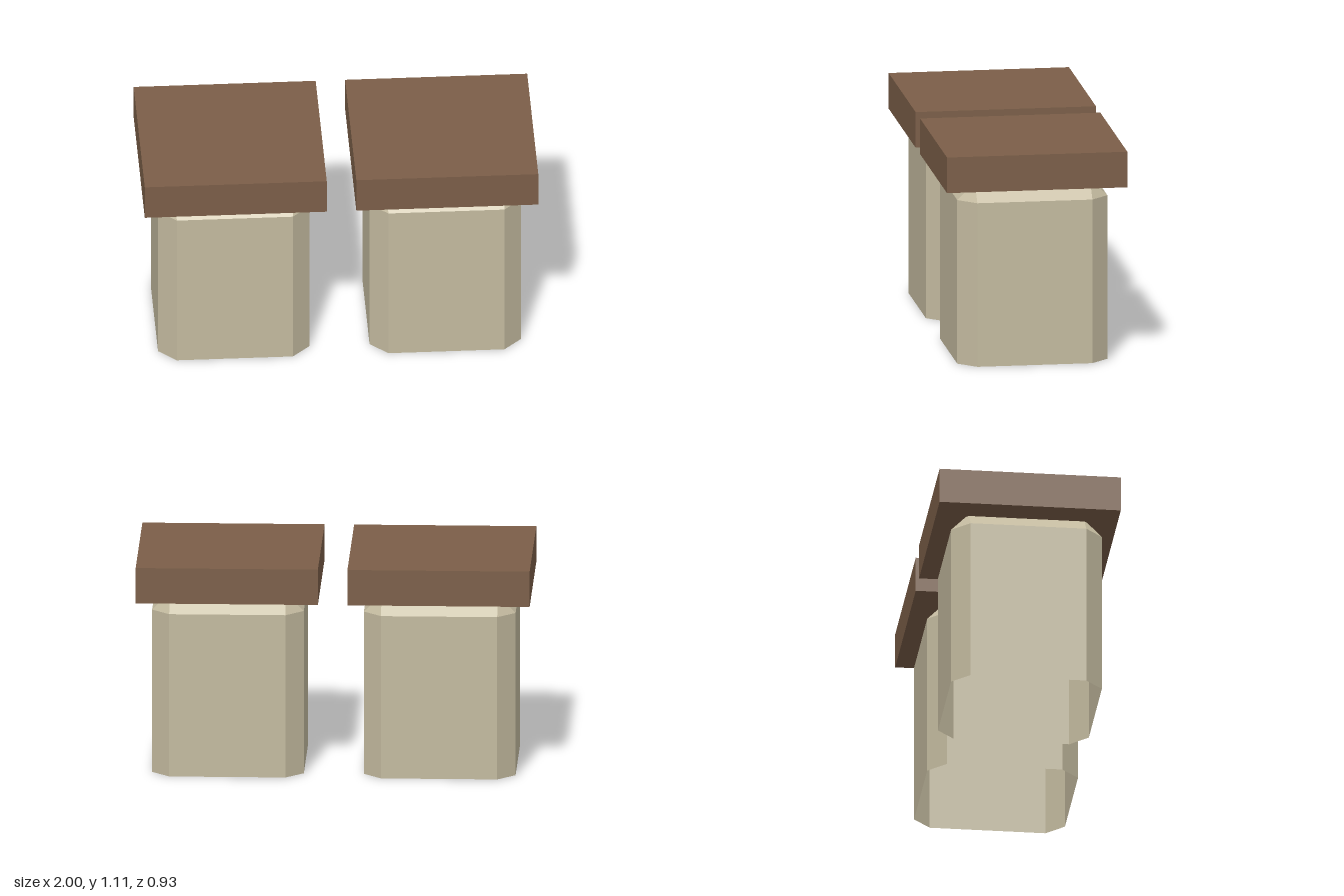
import * as THREE from 'three';

const FLAT = 0.295; // half width of each flat side, constant up the chamfered body

// Square ring with cut corners
function ring(half, y) {
  const f = FLAT;
  return [[half, -f], [half, f], [f, half], [-f, half], [-half, f], [-half, -f], [-f, -half], [f, -half]]
    .map(([x, z]) => [x, y, z]);
}

// Skin between successive rings, with faceted normals
function loftRings(rings) {
  const pos = [];
  for (let r = 0; r < rings.length - 1; r++) {
    const low = rings[r], high = rings[r + 1], n = low.length;
    for (let i = 0; i < n; i++) {
      const j = (i + 1) % n;
      pos.push(...low[i], ...high[i], ...high[j], ...low[i], ...high[j], ...low[j]);
    }
  }
  const geo = new THREE.BufferGeometry();
  geo.setAttribute('position', new THREE.Float32BufferAttribute(pos, 3));
  geo.computeVertexNormals();
  return geo;
}

export function createModel() {
  const model = new THREE.Group();
  model.name = 'pairOfLiddedBlocks';

  const stone = new THREE.MeshStandardMaterial({ color: 0xc3ba9f, side: THREE.DoubleSide });
  stone.name = 'paleStone';
  const wood = new THREE.MeshStandardMaterial({ color: 0x7b5e48 });
  wood.name = 'brownWood';

  // Open-bottomed body: straight walls, then a shoulder running up into the lid
  const bodyGeo = loftRings([ring(0.385, 0), ring(0.385, 0.85), ring(0.305, 0.93)]);
  const lidGeo = new THREE.BoxGeometry(0.925, 0.185, 0.925);

  for (const [side, sign] of [['left', 1], ['right', -1]]) {
    const unit = new THREE.Group();
    unit.name = side + 'Unit';
    unit.position.x = sign * 0.5375;

    const body = new THREE.Mesh(bodyGeo, stone);
    body.name = side + 'Body';

    const lid = new THREE.Mesh(lidGeo, wood);
    lid.name = side + 'Lid';
    lid.position.y = 1.0175;

    unit.add(body, lid);
    model.add(unit);
  }
  return model;
}
